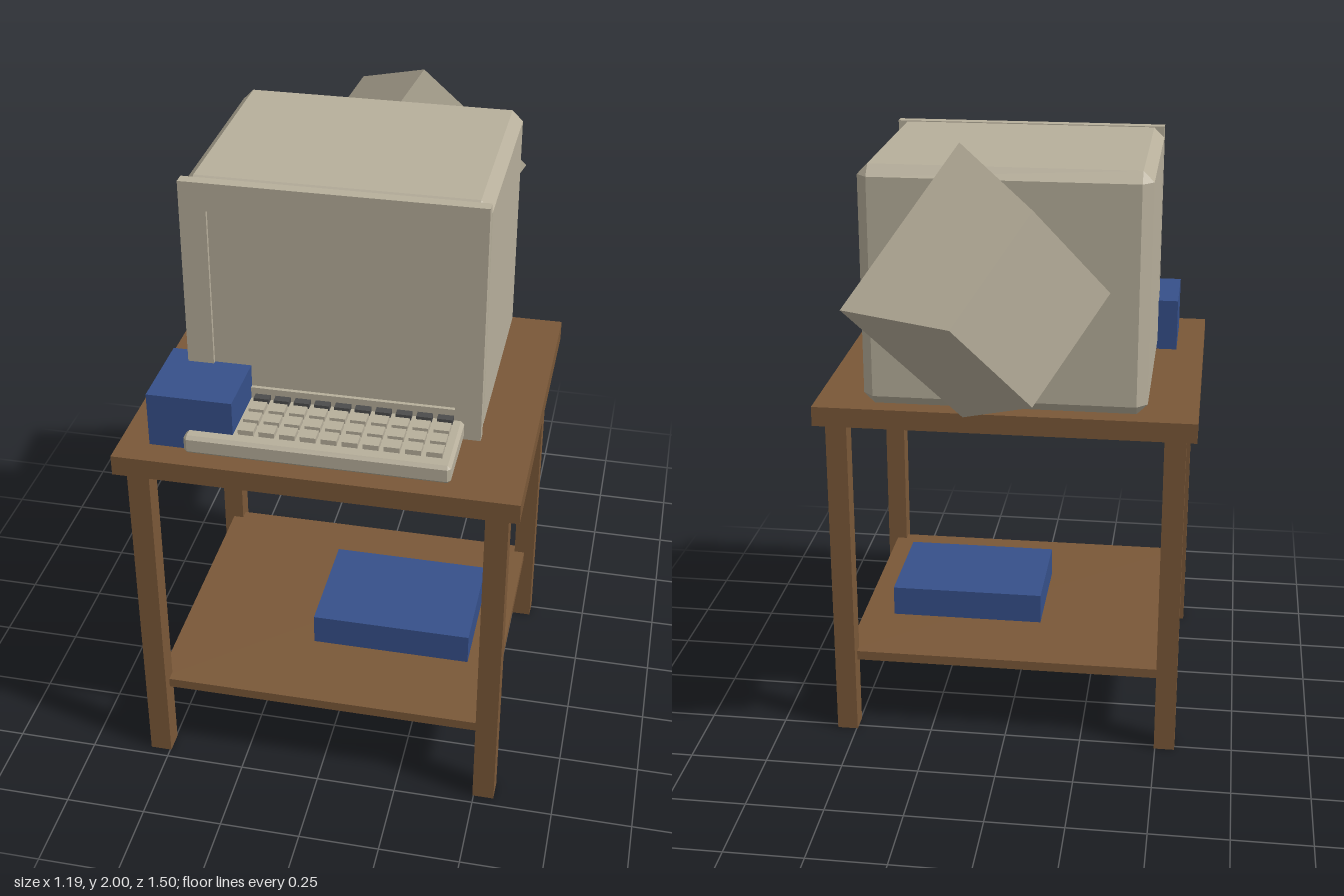
import * as THREE from 'three';
import { ConvexGeometry } from 'three/addons/geometries/ConvexGeometry.js';

const mat = (name, color) => {
  const m = new THREE.MeshStandardMaterial({ color });
  m.name = name;
  return m;
};

export function createModel() {
  const root = new THREE.Group();
  root.name = 'computerDesk';
  const wood = mat('brown wood', 0x7a5838);
  const beige = mat('beige plastic', 0xb7af9b);
  const blue = mat('blue', 0x36508a);
  const dark = mat('dark grey', 0x4c4c4c);

  const add = (parent, name, geometry, material) => {
    const mesh = new THREE.Mesh(geometry, material);
    mesh.name = name;
    parent.add(mesh);
    return mesh;
  };
  const group = (name) => {
    const g = new THREE.Group();
    g.name = name;
    root.add(g);
    return g;
  };
  // Box given by its limits on each axis
  const box = (parent, name, material, [x0, x1], [y0, y1], [z0, z1]) =>
    add(parent, name, new THREE.BoxGeometry(x1 - x0, y1 - y0, z1 - z0), material)
      .position.set((x0 + x1) / 2, (y0 + y1) / 2, (z0 + z1) / 2);
  // The same with every edge chamfered by c
  const chamferBox = (parent, name, material, [x0, x1], [y0, y1], [z0, z1], c) => {
    const h = [(x1 - x0) / 2, (y1 - y0) / 2, (z1 - z0) / 2];
    const pts = [];
    for (const sx of [-1, 1]) for (const sy of [-1, 1]) for (const sz of [-1, 1])
      for (let a = 0; a < 3; a++) {
        const d = h.map((v, i) => (i === a ? v : v - c));
        pts.push(new THREE.Vector3(sx * d[0], sy * d[1], sz * d[2]));
      }
    add(parent, name, new ConvexGeometry(pts), material)
      .position.set((x0 + x1) / 2, (y0 + y1) / 2, (z0 + z1) / 2);
  };

  // Table with four legs and a low shelf
  const table = group('table');
  box(table, 'tableTop', wood, [-0.597, 0.597], [1.1, 1.163], [-0.305, 0.75]);
  box(table, 'shelf', wood, [-0.53, 0.53], [0.245, 0.276], [-0.237, 0.687]);
  for (const sx of [-1, 1])
    for (const z of [-0.237, 0.687])
      add(table, 'leg', new THREE.BoxGeometry(0.067, 1.1, 0.067), wood).position.set(sx * 0.53, 0.55, z);

  // Blue boxes: one on the shelf, one beside the keyboard
  box(root, 'shelfBox', blue, [-0.085, 0.424], [0.276, 0.377], [0.04, 0.412]);
  box(root, 'deskBox', blue, [-0.506, -0.251], [1.163, 1.334], [0.395, 0.665]);

  // Monitor housing
  const monitor = group('monitor');
  chamferBox(monitor, 'housing', beige, [-0.441, 0.441], [1.163, 1.917], [-0.273, 0.44], 0.033);

  // Front frame with an opening, and the screen set into it
  const rect = (path, x, y0, y1) =>
    path.moveTo(-x, y0).lineTo(x, y0).lineTo(x, y1).lineTo(-x, y1).closePath();
  const frame = rect(new THREE.Shape(), 0.441, 1.167, 1.917);
  frame.holes.push(rect(new THREE.Path(), 0.362, 1.265, 1.831));
  add(monitor, 'frame', new THREE.ExtrudeGeometry(frame, { depth: 0.036, bevelEnabled: false }), beige)
    .position.z = 0.422;
  box(monitor, 'screen', beige, [-0.365, 0.365], [1.262, 1.834], [0.43, 0.446]);

  // Four-sided tube housing at the back, turned to one side
  const tube = new THREE.CylinderGeometry(0.29, 0.424, 0.343, 4).toNonIndexed();
  tube.computeVertexNormals();
  tube.rotateX(-Math.PI / 2).rotateY(Math.PI / 4);
  add(monitor, 'tubeHousing', tube, beige).position.set(0, 1.576, -0.428);

  // Keyboard; the rear row of keys is dark
  const keyboard = group('keyboard');
  chamferBox(keyboard, 'keyboardBase', beige, [-0.391, 0.391], [1.17, 1.229], [0.4, 0.703], 0.01);
  const key = new THREE.BoxGeometry(0.046, 0.03, 0.044);
  for (let row = 0; row < 4; row++)
    for (let col = 0; col < 12; col++)
      add(keyboard, 'key', key, row === 0 ? dark : beige)
        .position.set((col - 5.5) * 0.0612, 1.23, 0.462 + row * 0.0585);

  return root;
}
